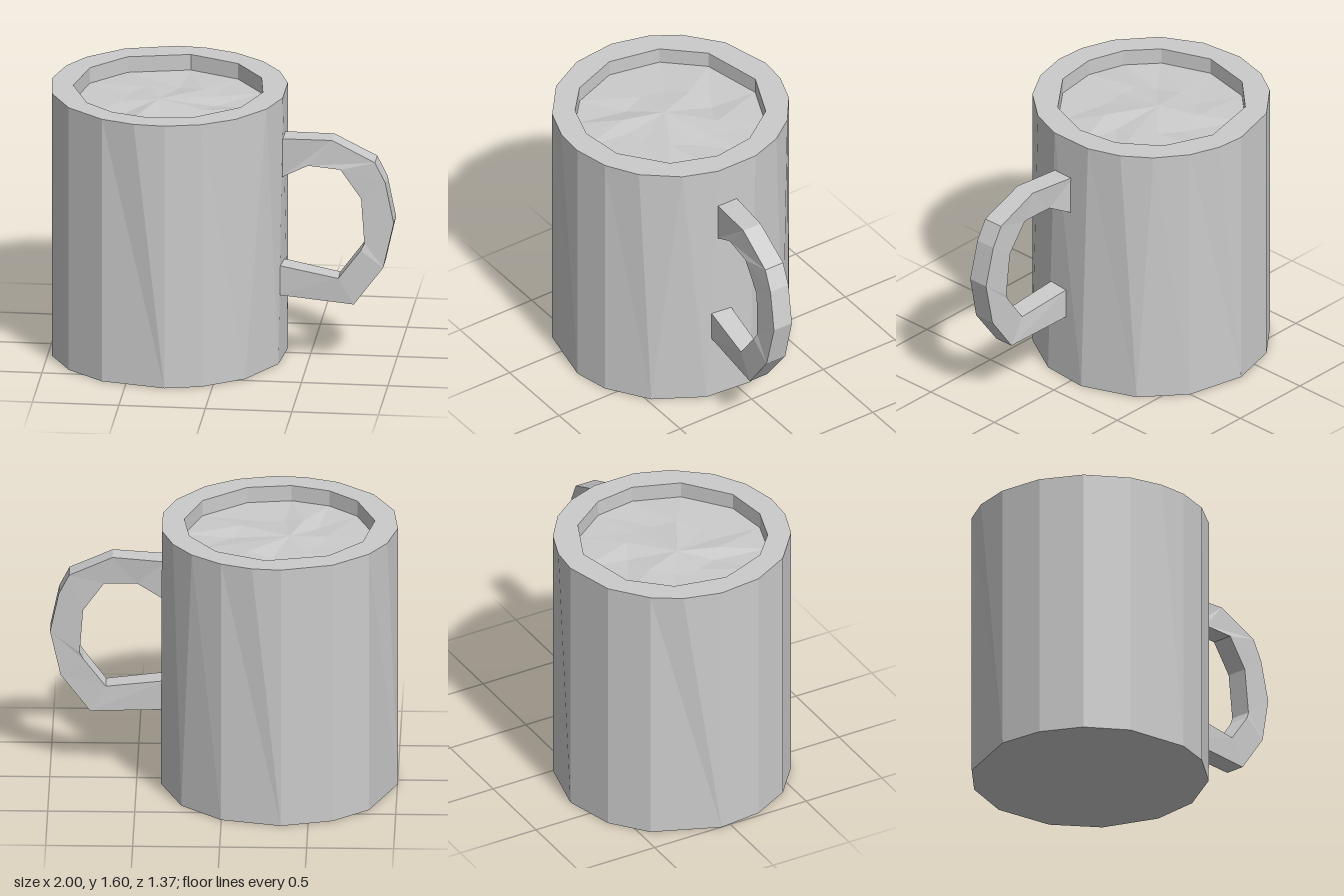
import * as THREE from 'three';

const CX = -0.32, HEIGHT = 1.6, RADIUS = 0.685, INNER = 0.55, LIQUID = 1.505;
const material = new THREE.MeshStandardMaterial({ color: 0xcccccc, flatShading: true });

// Ring angles in degrees; the base has fewer sides than the rim, so some repeat.
const RIM = [68, 50, 29, 11, -11, -28, -44, -62, -78, -92, -118, -140, -156, -175, -197, -219, -242, -259, -274];
const BASE = [68, 44, 44, 17, -7, -36, -36, -62, -92, -92, -118, -140, -175, -175, -197, -219, -242, -274, -274];
const MOUTH = [-152, -122, -83, -50, -21, 5, 35, 69, 96, 120, 143, 175];

function ring(angles, radius, y) {
  return angles.map((a) => {
    const t = THREE.MathUtils.degToRad(a);
    return new THREE.Vector3(CX + radius * Math.cos(t), y, radius * Math.sin(t));
  });
}

// Joins closed cross-sections with flat facets, dropping collapsed ones.
function loft(sections) {
  const pos = [];
  const tri = (a, b, c) => {
    if (new THREE.Triangle(a, b, c).getArea() > 1e-6) [a, b, c].forEach((p) => pos.push(p.x, p.y, p.z));
  };
  for (let i = 0; i < sections.length - 1; i++) {
    const cur = sections[i], next = sections[i + 1], n = cur.length;
    for (let k = 0; k < n; k++) {
      const m = (k + 1) % n;
      tri(cur[k], next[k], next[m]);
      tri(cur[k], next[m], cur[m]);
    }
  }
  const geo = new THREE.BufferGeometry();
  geo.setAttribute('position', new THREE.Float32BufferAttribute(pos, 3));
  geo.computeVertexNormals();
  return geo;
}

export function createModel() {
  const group = new THREE.Group();
  const add = (name, geo) => {
    const mesh = new THREE.Mesh(geo, material);
    mesh.name = name;
    group.add(mesh);
  };

  const rim = ring(RIM, RADIUS, HEIGHT);
  const base = ring(BASE, RADIUS, 0);
  const mouth = ring(MOUTH, INNER, HEIGHT);

  // Outer and inner walls
  add('outerWall', loft([rim, base]));
  add('innerWall', loft([mouth, ring(MOUTH, INNER, LIQUID)]));

  // Flat rim with the mouth cut out
  const rimShape = new THREE.Shape(rim.map((p) => new THREE.Vector2(p.x, -p.z)));
  rimShape.holes.push(new THREE.Path(mouth.map((p) => new THREE.Vector2(p.x, -p.z))));
  add('rim', new THREE.ShapeGeometry(rimShape).rotateX(-Math.PI / 2).translate(0, HEIGHT, 0));

  // Base
  const corners = base.filter((p, i) => i === 0 || p.distanceTo(base[i - 1]) > 1e-4);
  const baseShape = new THREE.Shape(corners.map((p) => new THREE.Vector2(p.x, p.z)));
  add('base', new THREE.ShapeGeometry(baseShape).rotateX(Math.PI / 2));

  // Gently uneven liquid surface
  const ripple = ring(MOUTH, 0.27, LIQUID);
  ripple.forEach((p, k) => { p.y += 0.012 * Math.sin(k * 2.3); });
  const centre = MOUTH.map(() => new THREE.Vector3(-0.38, LIQUID + 0.015, 0));
  add('liquid', loft([ring(MOUTH, INNER, LIQUID), ripple, centre]));

  // Handle sections: outer x, y, inner x, y, back z, front z
  const sections = [
    [0.335, 1.35, 0.335, 1.11, 0, 0.13],
    [0.64, 1.36, 0.50, 1.20, 0.035, 0.155],
    [0.89, 1.24, 0.69, 1.19, 0.05, 0.175],
    [0.95, 1.12, 0.81, 1.02, 0.055, 0.18],
    [1.0, 0.88, 0.83, 0.75, 0.065, 0.19],
    [0.94, 0.61, 0.81, 0.71, 0.07, 0.2],
    [0.77, 0.38, 0.68, 0.535, 0.08, 0.2],
    [0.335, 0.41, 0.335, 0.59, 0.04, 0.17],
  ].map(([ox, oy, ix, iy, back, front]) => [
    new THREE.Vector3(ox, oy, front),
    new THREE.Vector3(ox, oy, back),
    new THREE.Vector3(ix, iy, back),
    new THREE.Vector3(ix, iy, front),
  ]);
  add('handle', loft(sections));

  return group;
}
